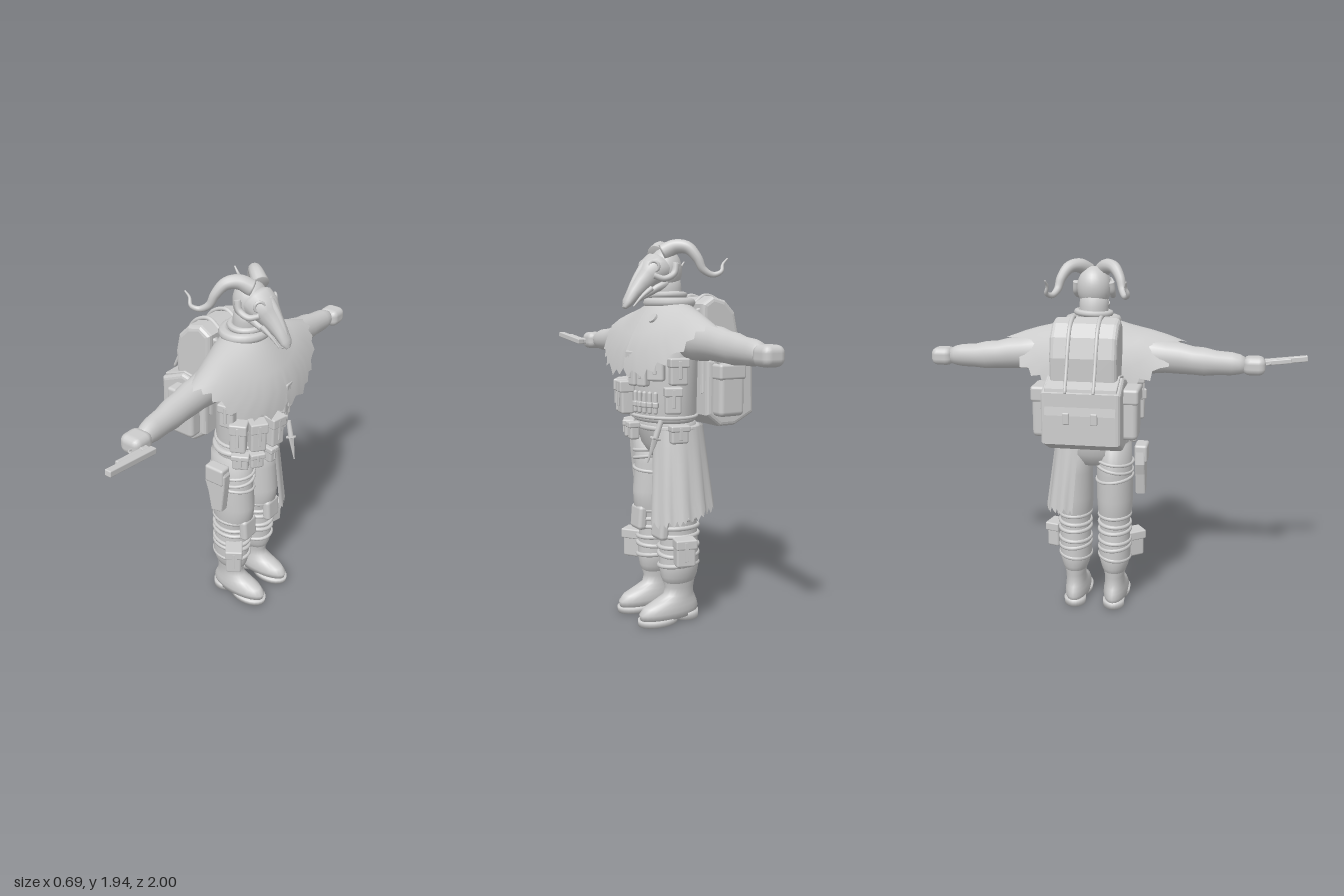
import * as THREE from 'three';
import { RoundedBoxGeometry } from 'three/addons/geometries/RoundedBoxGeometry.js';

const V = (x, y, z) => new THREE.Vector3(x, y, z);
const rad = THREE.MathUtils.degToRad;
const SIDES = [['right', 1], ['left', -1]]; // the figure looks along +x

export function createModel() {
  const model = new THREE.Group();
  const body = new THREE.Group();
  body.name = 'wanderer';
  body.position.z = -0.11;
  model.add(body);
  const clay = new THREE.MeshStandardMaterial({ color: 0xcccccc, side: THREE.DoubleSide });
  clay.name = 'light grey';

  function add(name, geo, pos, parent = body) {
    const m = new THREE.Mesh(geo, clay);
    m.name = name;
    if (pos) m.position.set(...pos);
    parent.add(m);
    return m;
  }
  // closed skin over elliptical sections [centre, u, v]; u x v points along the run
  function loft(secs, n = 20) {
    const p = [], idx = [], L = secs.length;
    for (const [c, u, v] of secs) for (let i = 0; i < n; i++) {
      const a = i / n * Math.PI * 2, q = c.clone().addScaledVector(u, Math.cos(a)).addScaledVector(v, Math.sin(a));
      p.push(q.x, q.y, q.z);
    }
    for (let k = 0; k < L - 1; k++) for (let i = 0; i < n; i++) {
      const a = k * n + i, b = k * n + (i + 1) % n;
      idx.push(a, b, b + n, a, b + n, a + n);
    }
    const e = p.length / 3;
    p.push(...secs[0][0].toArray(), ...secs[L - 1][0].toArray());
    for (let i = 0; i < n; i++) {
      const j = (i + 1) % n;
      idx.push(e, j, i, e + 1, (L - 1) * n + i, (L - 1) * n + j);
    }
    return finish(p, idx);
  }
  function finish(p, idx) {
    const g = new THREE.BufferGeometry();
    g.setAttribute('position', new THREE.Float32BufferAttribute(p, 3));
    g.setIndex(idx);
    g.computeVertexNormals();
    return g;
  }
  // upright skin from rows [y, centre x, radius x, radius z]
  const tower = (rows, z = 0) => loft(rows.map(([y, cx, rx, rz]) => [V(cx, y, z), V(0, 0, rz), V(rx, 0, 0)]), 24);
  // open cloth from fn(i, k)
  function cloth(nu, nv, fn) {
    const p = [], idx = [];
    for (let k = 0; k <= nv; k++) for (let i = 0; i <= nu; i++) p.push(...fn(i, k));
    for (let k = 0; k < nv; k++) for (let i = 0; i < nu; i++) {
      const a = k * (nu + 1) + i, b = a + nu + 1;
      idx.push(a, a + 1, b + 1, a, b + 1, b);
    }
    return finish(p, idx);
  }
  function taper(points, r0, r1, n = 36) {
    const c = new THREE.CatmullRomCurve3(points.map(q => V(...q)));
    const f = c.computeFrenetFrames(n);
    return loft(f.normals.map((N, i) => {
      const r = r0 + (r1 - r0) * i / n;
      return [c.getPointAt(i / n), N.clone().multiplyScalar(r), f.binormals[i].clone().multiplyScalar(r)];
    }), 12);
  }
  const box = (s, r = 0.012) => new RoundedBoxGeometry(s[0], s[1], s[2], 2, Math.min(r, Math.min(...s) / 2.2));
  function extrude(pts, depth, bevel) {
    const g = new THREE.ExtrudeGeometry(new THREE.Shape(pts.map(q => new THREE.Vector2(...q))),
      { depth: depth - 2 * bevel, bevelSize: bevel, bevelThickness: bevel, bevelSegments: 3 });
    return g.translate(0, 0, bevel - depth / 2);
  }
  // pouch with a flap and strap on its outer (+x) face, turned by angle a
  function pouch(name, pos, s, a = 0) {
    const g = new THREE.Group();
    g.name = name;
    g.position.set(...pos);
    g.rotation.y = -rad(a);
    body.add(g);
    add('pouchBody', box(s), null, g);
    add('pouchFlap', box([s[0] + 0.012, s[1] * 0.35, s[2] + 0.01], 0.008), [0.004, s[1] * 0.34, 0], g);
    add('pouchStrap', box([0.008, s[1] * 0.7, s[2] * 0.2], 0.003), [s[0] / 2 + 0.007, s[1] * 0.08, 0], g);
  }
  const around = (a, y, off) => [0.11 + Math.cos(rad(a)) * (0.155 + off), y, Math.sin(rad(a)) * (0.205 + off)];
  function band(name, y, x, z, rx, rz, thick, tilt = 0) {
    const g = new THREE.TorusGeometry(1, thick / rx, 8, 28).rotateX(Math.PI / 2);
    const m = add(name, g, [x, y, z]);
    m.scale.set(rx, rx * 0.9, rz);
    m.rotation.x = tilt;
  }

  // torso and hips
  add('torso', tower([[1.04, 0.1, 0.14, 0.19], [1.06, 0.11, 0.155, 0.21], [1.3, 0.11, 0.16, 0.215], [1.45, 0.1, 0.15, 0.22],
    [1.56, 0.08, 0.12, 0.18], [1.62, 0.08, 0.09, 0.1]]));
  add('hips', tower([[0.85, 0.08, 0.08, 0.12], [0.92, 0.08, 0.125, 0.18], [1.0, 0.085, 0.14, 0.19], [1.06, 0.1, 0.14, 0.19]]));
  band('belt', 1.01, 0.085, 0, 0.14, 0.19, 0.016);
  band('vestHem', 1.07, 0.11, 0, 0.155, 0.21, 0.01);

  // legs, wraps, knee pads and boots
  for (const [side, s] of SIDES) {
    const z = 0.112 * s;
    add(side + 'Leg', tower([[0.19, 0.08, 0.08, 0.055], [0.24, 0.08, 0.1, 0.075], [0.3, 0.08, 0.108, 0.09], [0.45, 0.08, 0.1, 0.085],
      [0.53, 0.085, 0.1, 0.085], [0.57, 0.09, 0.12, 0.095], [0.65, 0.09, 0.125, 0.1], [0.8, 0.08, 0.122, 0.098], [0.97, 0.08, 0.125, 0.09]], z));
    [[0.3, 0.1], [0.36, -0.08], [0.4, 0.04], [0.46, 0], [0.5, 0.06], [0.55, 0]].forEach(([y, t]) =>
      band(side + 'LegWrap', y, 0.083, z, 0.104, 0.086, 0.013, t));
    add(side + 'KneePad', box([0.05, 0.13, 0.11], 0.02), [0.19, 0.51, z]).rotation.z = 0.08;
    add(side + 'Boot', tower([[0.025, 0.14, 0.165, 0.064], [0.06, 0.14, 0.172, 0.07], [0.09, 0.13, 0.155, 0.066], [0.115, 0.105, 0.118, 0.06],
      [0.14, 0.082, 0.085, 0.056], [0.18, 0.077, 0.08, 0.056], [0.215, 0.08, 0.09, 0.064], [0.225, 0.08, 0.088, 0.062]], z));
    add(side + 'Heel', tower([[0, 0.035, 0.065, 0.06], [0.04, 0.035, 0.066, 0.062]], z));
    add(side + 'Sole', tower([[0, 0.205, 0.11, 0.07], [0.03, 0.205, 0.113, 0.073]], z));
    // arms and fists
    add(side + 'Arm', loft([[0.16, 1.45, 0.07, 0.095], [0.3, 1.45, 0.07, 0.096], [0.38, 1.445, 0.07, 0.084], [0.45, 1.44, 0.07, 0.082],
      [0.52, 1.43, 0.07, 0.074], [0.58, 1.425, 0.072, 0.074], [0.64, 1.42, 0.075, 0.064], [0.72, 1.417, 0.08, 0.06],
      [0.76, 1.415, 0.082, 0.052], [0.79, 1.412, 0.083, 0.04]].map(([w, y, x, r]) => [V(x, y, w * s), V(r * 0.88, 0, 0), V(0, r * s, 0)])));
    add(side + 'Hand', box([0.115, 0.095, 0.115], 0.035), [0.088, 1.41, 0.833 * s]);
  }
  [[0.87, 0.12], [0.83, 0.2], [0.77, -0.12]].forEach(([y, t]) => band('thighStrap', y, 0.08, 0.112, 0.125, 0.1, 0.01, t));

  // ragged shoulder cloak
  const rows = [[0.1, 0.1, 1.63, 1.635, 0.075], [0.14, 0.2, 1.57, 1.605, 0.085], [0.18, 0.3, 1.48, 1.58, 0.1],
    [0.21, 0.38, 1.39, 1.555, 0.112], [0.22, 0.44, 1.31, 1.53, 0.115]];
  const tear = [0, 0.035, 0.012, 0.05, 0.02, 0.006, 0.04];
  add('cloak', cloth(70, 4, (i, k) => {
    const a = i / 70 * Math.PI * 2, [X, W, yF, yS, cx] = rows[k];
    const sn = Math.sin(a), t = Math.abs(sn) ** 3, j = k === 4 ? tear[i % 7] : 0;
    return [cx + X * Math.cos(a), yF + (yS - yF) * t - j * (1 - 0.75 * t), sn * (W + j * 0.9)];
  }));
  add('cloakBrooch', new THREE.CylinderGeometry(0.026, 0.026, 0.012, 16).rotateZ(-0.9), [0.222, 1.555, -0.1]);
  band('collar', 1.63, 0.07, 0, 0.1, 0.115, 0.028);
  band('scarf', 1.665, 0.08, 0, 0.082, 0.085, 0.018, 0.05);

  // torn cloth hanging over the left leg
  add('hipCloth', cloth(42, 5, (i, k) => {
    const a = rad(5 - 200 * i / 42), t = k / 5, front = Math.cos(a);
    const low = 0.55 - 0.04 * front + tear[i % 7] * 0.8;
    const ripple = 0.006 * t * Math.sin(i * 0.9);
    return [0.075 + front * (0.135 + 0.04 * t + ripple), 1.02 + (low - 1.02) * t, -0.09 - 0.04 * t + Math.sin(a) * (0.115 + 0.02 * t + ripple)];
  }));

  // head with a horned animal skull mask
  add('neck', tower([[1.58, 0.075, 0.075, 0.08], [1.7, 0.085, 0.075, 0.075], [1.76, 0.09, 0.07, 0.07]]));
  add('headBack', new THREE.SphereGeometry(0.1, 24, 18).scale(0.85, 1.08, 0.88), [0.095, 1.79, 0]);
  const snout = (list) => loft(list.map(([x, y, rn, rz]) => [V(x, y, 0), V(0, 0, rz), V(-0.67 * rn, -0.74 * rn, 0)]), 16);
  add('skullMask', snout([[0.09, 1.82, 0.06, 0.06], [0.125, 1.805, 0.086, 0.088], [0.17, 1.775, 0.08, 0.088], [0.2, 1.75, 0.062, 0.07],
    [0.235, 1.715, 0.05, 0.052], [0.275, 1.675, 0.036, 0.042], [0.31, 1.63, 0.024, 0.036], [0.326, 1.605, 0.01, 0.018]]));
  add('jaw', snout([[0.12, 1.73, 0.045, 0.072], [0.17, 1.7, 0.03, 0.064], [0.22, 1.67, 0.022, 0.05], [0.265, 1.635, 0.01, 0.028]]));
  add('noseRidge', taper([[0.2, 1.83, 0], [0.25, 1.765, 0], [0.29, 1.7, 0], [0.325, 1.62, 0]], 0.022, 0.008));
  for (const [side, s] of SIDES) {
    const eye = add(side + 'EyeSocket', new THREE.TorusGeometry(0.024, 0.008, 8, 18), [0.195, 1.803, 0.066 * s]);
    eye.rotation.y = rad(s > 0 ? 48 : 132);
    add(side + 'Cheekbone', taper([[0.2, 1.76, 0.07 * s], [0.15, 1.745, 0.09 * s], [0.1, 1.77, 0.095 * s], [0.085, 1.82, 0.09 * s]], 0.014, 0.018));
    add(side + 'Tusk', taper([[0.2, 1.7, 0.052 * s], [0.25, 1.66, 0.045 * s], [0.295, 1.61, 0.036 * s]], 0.014, 0.004));
    add(side + 'Horn', taper([[0.13, 1.87, 0.035 * s], [0.08, 1.9, 0.07 * s], [0.035, 1.895, 0.115 * s], [0.0, 1.845, 0.15 * s],
      [-0.025, 1.79, 0.165 * s], [-0.07, 1.765, 0.185 * s], [-0.105, 1.78, 0.205 * s], [-0.12, 1.815, 0.195 * s], [-0.145, 1.845, 0.2 * s]], 0.042, 0.004, 48));
  }

  // backpack
  add('packTop', extrude([[-0.05, 1.2], [-0.05, 1.61], [-0.09, 1.635], [-0.15, 1.62], [-0.2, 1.57], [-0.22, 1.48], [-0.21, 1.2]], 0.34, 0.025));
  add('packBase', extrude([[-0.055, 1.08], [-0.055, 1.33], [-0.18, 1.36], [-0.295, 1.31], [-0.3, 1.08], [-0.2, 1.03], [-0.12, 1.03]], 0.4, 0.022));
  add('packLid', extrude([[-0.04, 1.31], [-0.04, 1.36], [-0.18, 1.385], [-0.3, 1.34], [-0.318, 1.22], [-0.28, 1.22]], 0.36, 0.006));
  for (const [side, s] of SIDES) {
    add(side + 'PackPocket', box([0.15, 0.25, 0.09], 0.025), [-0.14, 1.19, 0.225 * s]);
    add(side + 'PackPocketFlap', box([0.16, 0.08, 0.1], 0.015), [-0.14, 1.29, 0.225 * s]);
    add(side + 'PackStrap', taper([[-0.03, 1.62, 0.07 * s], [-0.1, 1.665, 0.07 * s], [-0.19, 1.63, 0.07 * s], [-0.245, 1.54, 0.07 * s],
      [-0.28, 1.45, 0.07 * s], [-0.335, 1.33, 0.07 * s]], 0.012, 0.008));
    add(side + 'PackBuckle', box([0.03, 0.06, 0.035], 0.006), [-0.315, 1.2, 0.07 * s]);
    add(side + 'ShoulderStrap', taper([[-0.06, 1.3, 0.13 * s], [-0.075, 1.5, 0.13 * s], [-0.02, 1.6, 0.12 * s]], 0.018, 0.018));
  }

  // vest pouches and cartridges
  [12, 38, 64].forEach(a => pouch('beltPouch', around(a, 1.16, 0.035), [0.065, 0.165, 0.082], a));
  [[-8, 1.31, 0.17, 0.055], [-24, 1.31, 0.17, 0.055], [-44, 1.325, 0.14, 0.085], [-76, 1.3, 0.13, 0.09], [-68, 1.16, 0.13, 0.08],
    [82, 1.27, 0.13, 0.08]].forEach(([a, y, h, w]) => pouch('vestPouch', around(a, y, 0.025), [0.05, h, w], a));
  for (let a = -6; a >= -50; a -= 9) {
    add('cartridge', new THREE.CapsuleGeometry(0.011, 0.09, 4, 10), around(a, 1.145, 0.016));
    add('cartridgeLoop', box([0.03, 0.03, 0.03], 0.008), around(a, 1.135, 0.014)).rotation.y = -rad(a);
  }
  [[35, 0.07], [62, 0.085], [8, 0.05], [-80, 0.09]].forEach(([a, w]) => pouch('hipPouch', around(a, 0.99, 0), [0.05, 0.09, w], a));

  // sheathed knife at the left hip
  const knife = new THREE.Group();
  knife.name = 'knife';
  knife.position.set(0.26, 0.97, -0.18);
  knife.rotation.set(-0.12, 0, 0.3);
  body.add(knife);
  add('knifeGrip', new THREE.CylinderGeometry(0.013, 0.015, 0.09, 10), [0, 0.055, 0], knife);
  add('knifeGuard', box([0.05, 0.012, 0.03], 0.004), [0, 0.008, 0], knife);
  add('knifeBlade', new THREE.CylinderGeometry(0.018, 0.004, 0.12, 4), [0, -0.058, 0], knife);

  // holster and shin pouches
  add('holster', extrude([[0.045, 0.95], [0.13, 0.95], [0.145, 0.92], [0.14, 0.84], [0.125, 0.7], [0.075, 0.69], [0.055, 0.8], [0.035, 0.86]], 0.055, 0.01),
    [0, 0, 0.255]);
  add('holsterFlap', box([0.115, 0.1, 0.07], 0.014), [0.09, 0.915, 0.258]);
  pouch('rightShinPouch', [0.165, 0.345, 0.205], [0.1, 0.15, 0.085], 55);
  pouch('leftShinPouch', [0.12, 0.395, -0.232], [0.07, 0.14, 0.1], -75);

  // pistol held flat in the right hand
  const pistol = new THREE.Group();
  pistol.name = 'pistol';
  pistol.position.set(0.175, 1.42, 0.965);
  pistol.rotation.x = -0.12;
  body.add(pistol);
  add('pistolSlide', box([0.034, 0.03, 0.285], 0.005), [0.005, 0, 0], pistol);
  add('pistolFrame', box([0.026, 0.026, 0.19], 0.005), [-0.02, 0, -0.035], pistol);
  add('pistolGrip', box([0.12, 0.03, 0.045], 0.008), [-0.065, 0, -0.12], pistol).rotation.y = -0.2;
  add('triggerGuard', new THREE.TorusGeometry(0.022, 0.005, 6, 14).rotateX(Math.PI / 2), [-0.045, 0, -0.07], pistol);
  return model;
}
